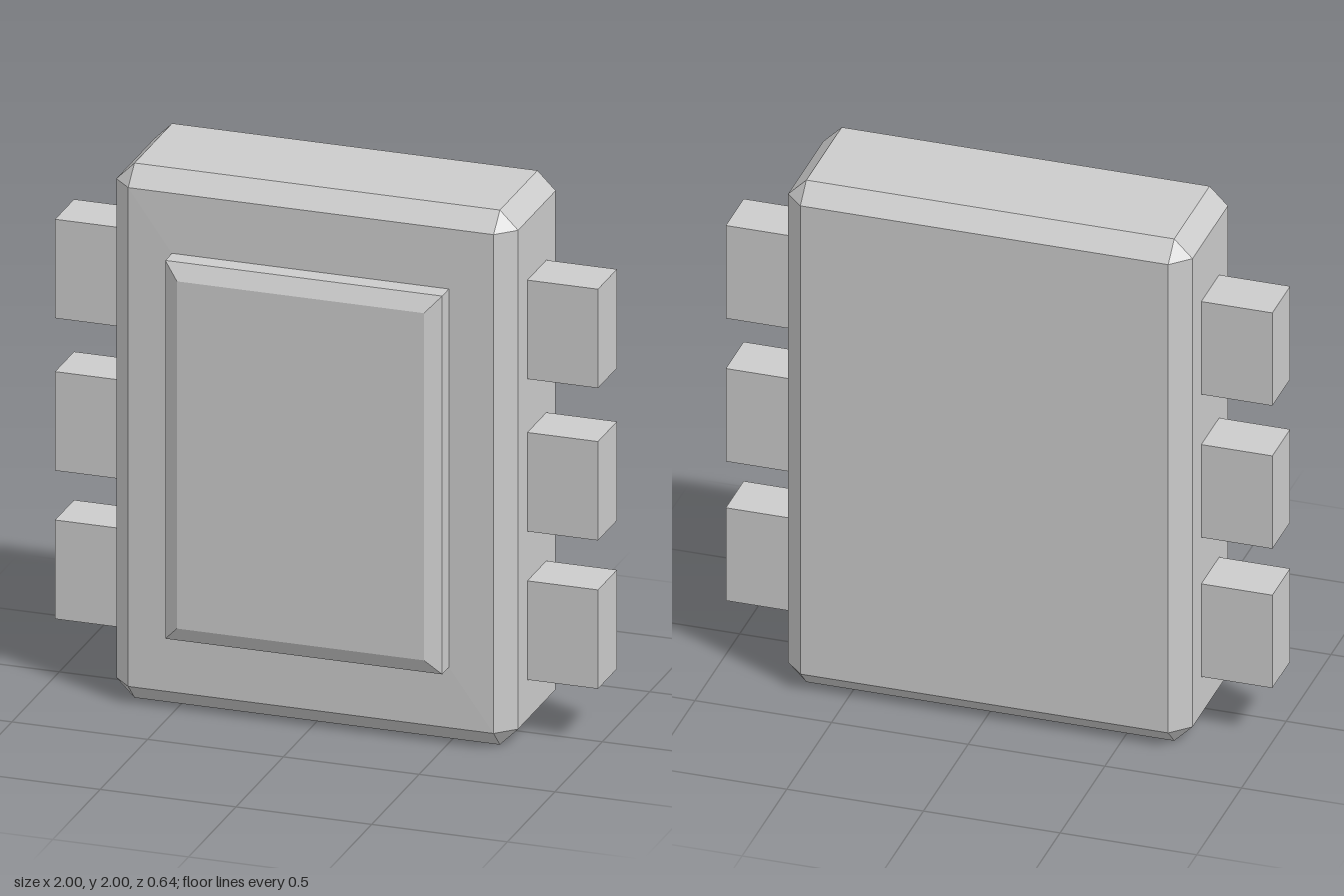
import * as THREE from 'three';
import { ConvexGeometry } from 'three/addons/geometries/ConvexGeometry.js';

const material = new THREE.MeshStandardMaterial({ color: 0xcccccc, flatShading: true });

function addMesh(group, name, geometry) {
  const mesh = new THREE.Mesh(geometry, material);
  mesh.name = name;
  group.add(mesh);
  return mesh;
}

// Four corners of a rectangle facing z
function rectangle(halfX, y0, y1, z) {
  return [[-1, y0], [1, y0], [1, y1], [-1, y1]].map(([s, y]) => new THREE.Vector3(s * halfX, y, z));
}

export function createModel() {
  const group = new THREE.Group();
  group.name = 'chip';

  // Body: block with every edge bevelled, front swelling very slightly towards the panel
  const w = 0.74, c = 0.067, back = -0.32, front = 0.21;
  const bodyPoints = [
    ...rectangle(w - c, c, 2 - c, back),
    ...rectangle(w - c, c, 2 - c, front),
    ...rectangle(0.51, 0.295, 1.71, front + 0.004),
  ];
  for (const z of [back + c, front - c]) {
    bodyPoints.push(...rectangle(w, c, 2 - c, z), ...rectangle(w - c, 0, 2, z));
  }
  addMesh(group, 'body', new ConvexGeometry(bodyPoints));

  // Raised front panel with a bevelled rim
  addMesh(group, 'frontPanel', new ConvexGeometry([
    ...rectangle(0.51, 0.295, 1.71, 0.19),
    ...rectangle(0.51, 0.295, 1.71, 0.285),
    ...rectangle(0.455, 0.353, 1.652, 0.32),
  ]));

  // Three pins on each side, rooted a little inside the body
  const pin = new THREE.BoxGeometry(0.28, 0.37, 0.2);
  for (const [side, name] of [[1, 'leftPin'], [-1, 'rightPin']]) {
    [0.4, 0.955, 1.525].forEach((y, i) => {
      addMesh(group, name + (i + 1), pin).position.set(side * 0.86, y, -0.055);
    });
  }

  return group;
}
